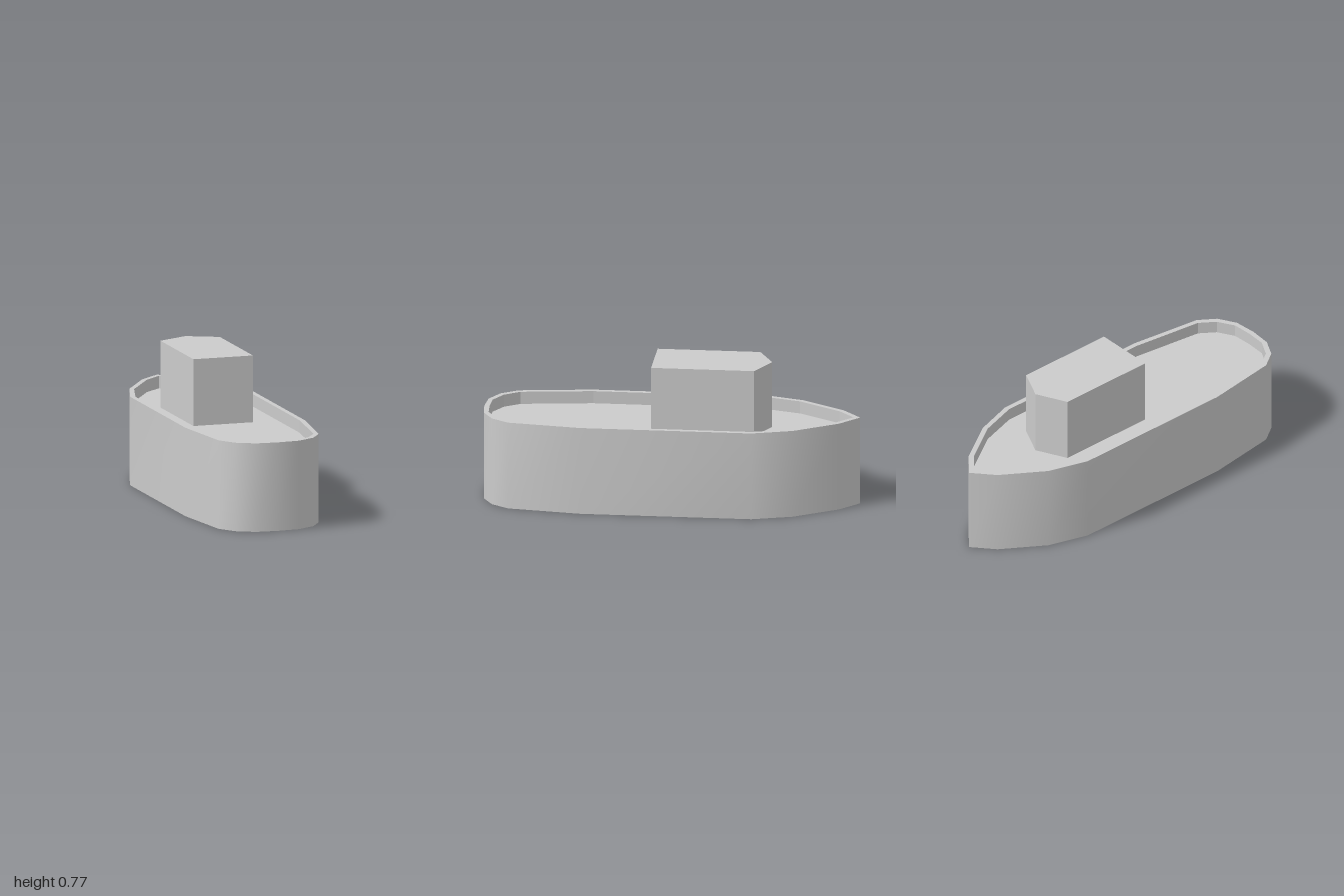
import * as THREE from 'three';
import { toCreasedNormals } from 'three/addons/utils/BufferGeometryUtils.js';

const TOP = 0.477, DECK = 0.41, ROOF = 0.77;

// Half outlines as [x, z], from bow (-z) to stern (+z)
const outerHalf = [[0, -1], [0.116, -0.9], [0.266, -0.67], [0.333, -0.455], [0.333, 0.455],
  [0.28, 0.845], [0.217, 0.937], [0.12, 0.99], [0, 1]];
const innerHalf = [[0, -0.965], [0.097, -0.88], [0.244, -0.655], [0.306, -0.45], [0.306, 0.452],
  [0.255, 0.833], [0.197, 0.916], [0.107, 0.966], [0, 0.972]];
const cabinHalf = [[0, -0.532], [0.166, -0.452], [0.166, 0.095]];

// Close a half outline by mirroring it across x = 0
function mirror(half) {
  const other = half.filter(p => p[0] > 0).reverse().map(([x, z]) => [-x, z]);
  return [...half, ...other];
}

const toVectors = (loop, sign) => loop.map(([x, z]) => new THREE.Vector2(x, sign * z));

// Vertical wall along a closed outline; faces outward when y1 > y0, inward otherwise
function wall(loop, y0, y1) {
  const pos = [];
  loop.forEach(([px, pz], i) => {
    const [qx, qz] = loop[(i + 1) % loop.length];
    pos.push(px, y0, pz, px, y1, pz, qx, y0, qz);
    pos.push(qx, y0, qz, px, y1, pz, qx, y1, qz);
  });
  const geo = new THREE.BufferGeometry();
  geo.setAttribute('position', new THREE.Float32BufferAttribute(pos, 3));
  geo.computeVertexNormals();
  return geo;
}

// Flat horizontal face, optionally with a hole, looking up or down
function cap(loop, y, { hole = null, down = false } = {}) {
  const sign = down ? 1 : -1;
  const shape = new THREE.Shape(toVectors(loop, sign));
  if (hole) shape.holes.push(new THREE.Path(toVectors(hole, sign)));
  return new THREE.ShapeGeometry(shape).rotateX(sign * Math.PI / 2).translate(0, y, 0);
}

export function createModel() {
  const model = new THREE.Group();
  model.name = 'boat';
  const material = new THREE.MeshStandardMaterial({ color: 0xcccccc });
  const add = (name, geometry, parent) => {
    const mesh = new THREE.Mesh(geometry, material);
    mesh.name = name;
    parent.add(mesh);
  };
  const outer = mirror(outerHalf), inner = mirror(innerHalf);

  // Hull: smooth sides with a sharp bow, flat bottom, raised rim around a sunken deck
  const hull = new THREE.Group();
  hull.name = 'hull';
  model.add(hull);
  add('hullSides', toCreasedNormals(wall(outer, 0, TOP), 0.6), hull);
  add('hullBottom', cap(outer, 0, { down: true }), hull);
  add('rim', cap(outer, TOP, { hole: inner }), hull);
  add('bulwark', wall(inner, TOP, DECK), hull);
  add('deck', cap(inner, DECK), hull);

  // Cabin: block with a pointed end toward the bow
  const cabin = new THREE.ExtrudeGeometry(new THREE.Shape(toVectors(mirror(cabinHalf), -1)),
    { depth: ROOF - DECK, bevelEnabled: false });
  cabin.rotateX(-Math.PI / 2).translate(0, DECK, 0);
  add('cabin', cabin, model);

  return model;
}
